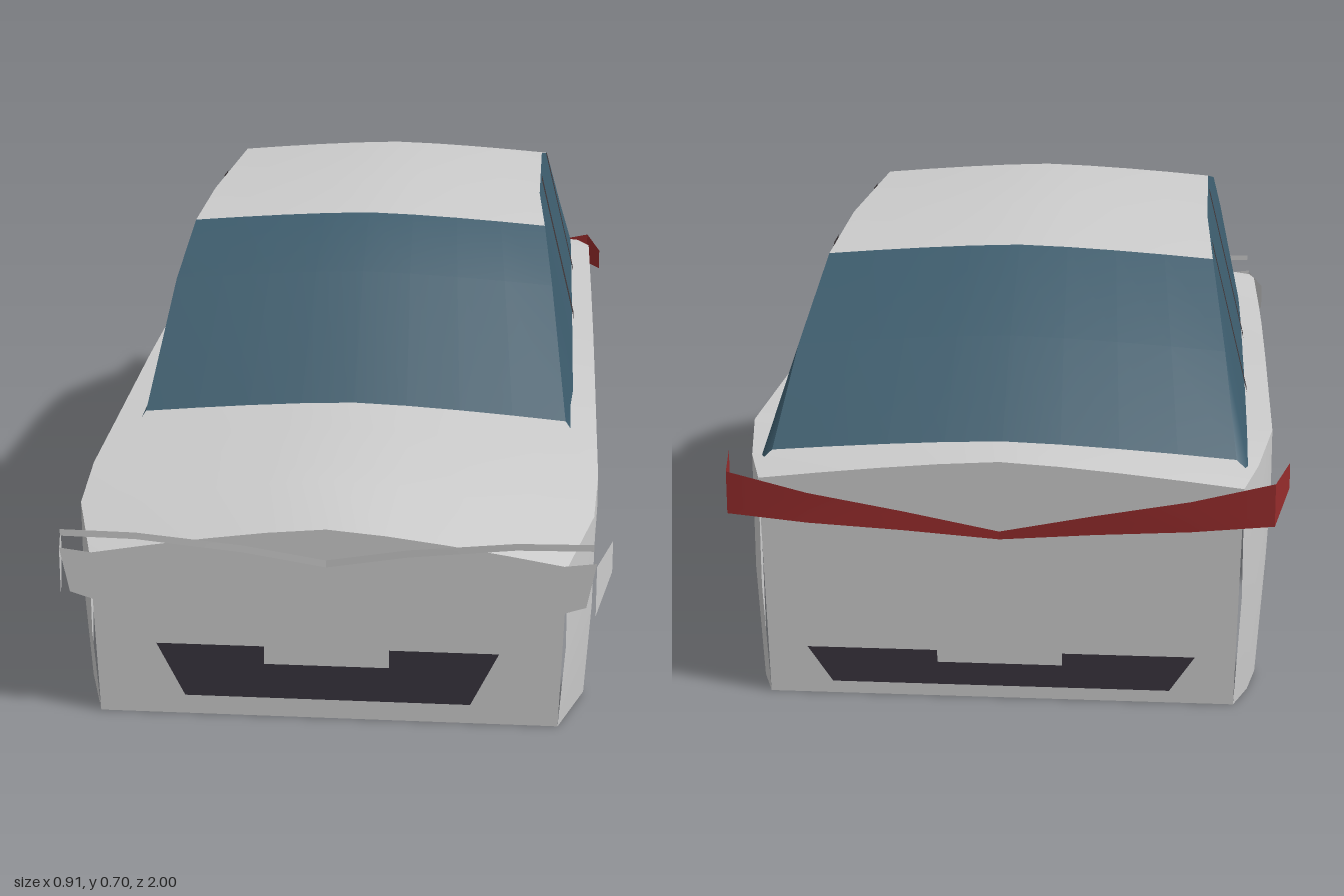
import * as THREE from 'three';

// Piecewise-linear lookup in a table of [z, a, b, ...] rows, z falling
function at(table, z, k = 1) {
  for (let i = 0; i < table.length - 1; i++) {
    const p = table[i], q = table[i + 1];
    if (z <= p[0] && z >= q[0]) return p[k] + (q[k] - p[k]) * (p[0] - z) / (p[0] - q[0]);
  }
  return z > table[0][0] ? table[0][k] : table[table.length - 1][k];
}

// Skin over equal-length rows of [x, y, z] points
function skin(rows) {
  const n = rows[0].length, index = [];
  for (let i = 0; i < rows.length - 1; i++)
    for (let j = 0; j < n - 1; j++) {
      const a = i * n + j, b = a + n;
      index.push(a, b, a + 1, a + 1, b, b + 1);
    }
  const g = new THREE.BufferGeometry();
  g.setAttribute('position', new THREE.Float32BufferAttribute(rows.flat(2), 3));
  g.setIndex(index);
  g.computeVertexNormals();
  return g;
}

// Flat upright plate from [x, y] corners
function plate(points, z) {
  const g = new THREE.ShapeGeometry(new THREE.Shape(points.map(p => new THREE.Vector2(...p))));
  return g.translate(0, 0, z);
}

// Lower edge of the sides, with the wheel openings
const lower = [[0.975, 0], [0.84, 0], [0.775, 0.177], [0.62, 0.25], [0.47, 0.177], [0.42, 0],
  [-0.415, 0], [-0.475, 0.177], [-0.62, 0.25], [-0.77, 0.177], [-0.835, 0], [-0.975, 0]];
// z, half width, shoulder height, centre height
const shell = [[0.975, 0.38, 0.272, 0.323], [0.84, 0.422, 0.308, 0.357], [0.7, 0.43, 0.33, 0.374],
  [0.5, 0.43, 0.348, 0.388], [0.2, 0.43, 0.376, 0.4], [0, 0.43, 0.39, 0.402], [-0.3, 0.43, 0.398, 0.406],
  [-0.77, 0.43, 0.396, 0.41], [-0.91, 0.405, 0.378, 0.408], [-0.975, 0.382, 0.36, 0.395]];
// z, upper half width, upper side height, centre height
const cabin = [[0.51, 0.375, 0.365, 0.39], [0.33, 0.346, 0.567, 0.587], [0.2, 0.33, 0.65, 0.67],
  [0.04, 0.318, 0.68, 0.7], [-0.4, 0.318, 0.68, 0.7], [-0.6, 0.328, 0.645, 0.665],
  [-0.78, 0.35, 0.53, 0.55], [-0.92, 0.37, 0.39, 0.412]];

const across = [-1, -0.75, -0.5, -0.25, 0, 0.25, 0.5, 0.75, 1];
// Crowned cross-section of a table at z
const crown = (table, z, power) => across.map(t => {
  const edge = at(table, z, 2), mid = at(table, z, 3);
  return [at(table, z, 1) * t, mid - (mid - edge) * Math.abs(t) ** power, z];
});

export function createModel() {
  const car = new THREE.Group();
  car.name = 'carBody';
  const mat = (name, color) => {
    const m = new THREE.MeshStandardMaterial({ color, side: THREE.DoubleSide });
    m.name = name;
    return m;
  };
  const paint = mat('silverPaint', 0xcccccc);
  const glass = mat('tintedGlass', 0x3d5d6e);
  const dark = mat('grilleDark', 0x39343e);
  const trim = mat('pillarTrim', 0x3d3638);
  const red = mat('tailRed', 0x962c2c);
  const add = (name, geometry, material) => {
    const m = new THREE.Mesh(geometry, material);
    m.name = name;
    car.add(m);
  };

  // Hood, belt deck and trunk lid in one crowned skin
  const stations = [...new Set([...lower, ...shell].map(p => p[0]))].sort((a, b) => b - a);
  add('upperDeck', skin(stations.map(z => crown(shell, z, 1.3))), paint);

  // Sides with wheel openings
  for (const s of [1, -1]) {
    const rows = stations.map(z => {
      const x = at(shell, z, 1), top = at(shell, z, 2), low = at(lower, z);
      return [[s * x, top, z], [s * x, top + (low - top) * 0.5, z], [s * (x - 0.01 * (1 - low / 0.4)), low, z]];
    });
    add(s > 0 ? 'leftSide' : 'rightSide', skin(rows), paint);
  }

  // Front and rear panels
  for (const z of [0.975, -0.975]) {
    const top = crown(shell, z, 1.3).map(p => [p[0], p[1]]);
    const w = at(shell, z, 1) - 0.01;
    add(z > 0 ? 'frontPanel' : 'rearPanel', plate([...top, [w, 0], [-w, 0]], z), paint);
  }

  // Windshield, roof and rear window
  const span = (from, to) => skin(cabin.slice(from, to + 1).map(c => crown(cabin, c[0], 1.4)));
  add('windshield', span(0, 2), glass);
  add('roof', span(2, 5), paint);
  add('rearWindow', span(5, 7), glass);

  // Side windows and pillars
  const sideRow = (s, z, out) => [[s * (0.39 + out), at(shell, z, 2) - 0.004, z],
    [s * (at(cabin, z, 1) + out), at(cabin, z, 2), z]];
  for (const s of [1, -1]) {
    const zs = [0.51, 0.33, 0.2, 0.04, -0.2, -0.4, -0.6, -0.78, -0.92];
    add('sideWindow', skin(zs.map(z => sideRow(s, z, 0))), glass);
    for (const [z, h] of [[-0.122, 0.023], [-0.528, 0.019]])
      add('pillar', skin([z + h, z - h].map(v => sideRow(s, v, 0.003))), trim);
  }

  // Lower grilles and licence plates
  const trapezoid = (a, top, b, low) => [[-a, top], [a, top], [b, low], [-b, low]];
  add('frontGrille', plate(trapezoid(0.275, 0.123, 0.23, 0.034), 0.98), dark);
  add('frontPlate', plate(trapezoid(0.1, 0.137, 0.1, 0.095), 0.985), paint);
  add('rearGrille', plate(trapezoid(0.31, 0.08, 0.27, 0.022), -0.98), dark);
  add('rearPlate', plate(trapezoid(0.1, 0.106, 0.1, 0.062), -0.985), paint);

  // Lamps wrapping round the corners, and the thin nose strip
  for (const s of [1, -1]) {
    const lamp = [[0.184, 0.245], [0.215, 0.213], [0.33, 0.186], [0.41, 0.211], [0.425, 0.285], [0.305, 0.27]];
    add('headlight', plate(lamp.map(([x, y]) => [s * x, y]), 0.99), paint);
    add('headlightSide', skin([[[s * 0.425, 0.28, 0.99], [s * 0.425, 0.198, 0.99]],
      [[s * 0.453, 0.275, 0.86], [s * 0.453, 0.222, 0.86]]]), paint);
    add('noseStrip', skin([[0.42, 0.32, 0.309, 1], [0.3, 0.318, 0.307, 1], [0.13, 0.298, 0.286, 0.99],
      [0, 0.274, 0.262, 0.982]].map(([x, a, b, z]) => [[s * x, a, z], [s * x, b, z]])), paint);
    add('taillight', skin([[0.457, 0.366, 0.323, -0.85], [0.43, 0.374, 0.305, -0.99]]
      .map(([x, a, b, z]) => [[s * x, a, z], [s * x, b, z]])), red);
    add('taillightBand', skin([[0.43, 0.374, 0.305, -0.99], [0.3, 0.345, 0.296, -1], [0.15, 0.315, 0.284, -0.99],
      [0, 0.283, 0.27, -0.982]].map(([x, a, b, z]) => [[s * x, a, z], [s * x, b, z]])), red);
  }
  return car;
}
